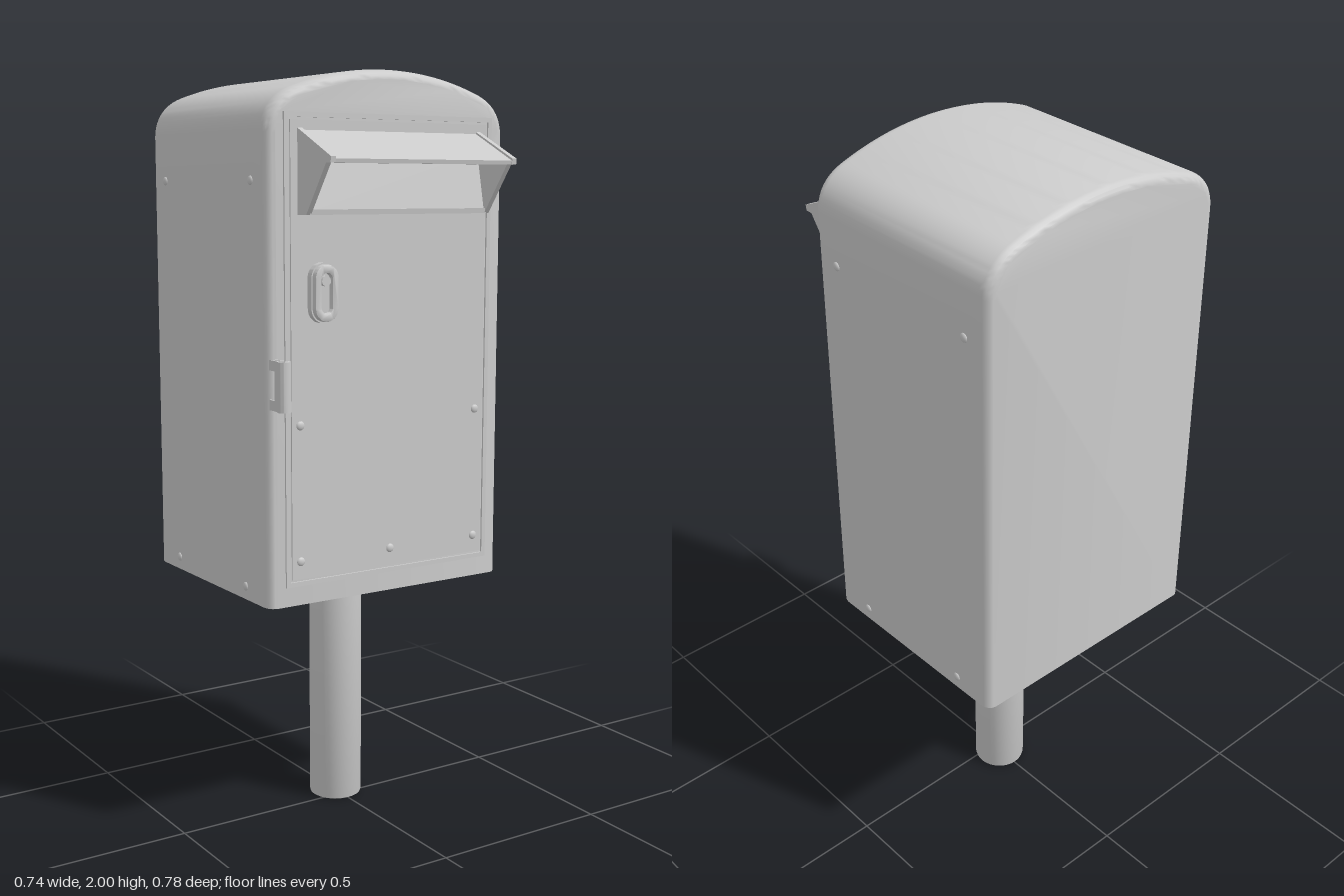
import * as THREE from 'three';
import { toCreasedNormals } from 'three/addons/utils/BufferGeometryUtils.js';

const grey = new THREE.MeshStandardMaterial({ color: 0xcccccc });
const BOTTOM = 0.655, FRONT = 0.234, BACK = -0.39;

function add(parent, name, geometry, x = 0, y = 0, z = 0) {
  const mesh = new THREE.Mesh(geometry, grey);
  mesh.name = name;
  mesh.position.set(x, y, z);
  parent.add(mesh);
  return mesh;
}

const polygon = (points) => new THREE.Shape(points.map(([x, y]) => new THREE.Vector2(x, y)));

function extrude(shape, depth, options = {}) {
  const geometry = new THREE.ExtrudeGeometry(shape, { depth, bevelEnabled: false, curveSegments: 12, ...options });
  return toCreasedNormals(geometry, 0.6);
}

// Profile drawn in (z, y), swept across x and centred
function sweepX(points, width) {
  return extrude(polygon(points), width).rotateY(-Math.PI / 2).translate(width / 2, 0, 0);
}

function rectangle(x0, y0, x1, y1) {
  return polygon([[x0, y0], [x1, y0], [x1, y1], [x0, y1]]);
}

function stadium(radius, half) {
  const s = new THREE.Shape();
  s.absarc(0, half, radius, 0, Math.PI);
  s.absarc(0, -half, radius, Math.PI, Math.PI * 2);
  s.closePath();
  return s;
}

// Arched cabinet with rounded front and back edges and a flat, sharp underside
function bodyGeometry() {
  const b = 0.025, t = 0.03, w = 0.365 - b;
  const s = new THREE.Shape();
  s.moveTo(-w, BOTTOM + b);
  s.lineTo(w, BOTTOM + b);
  s.lineTo(w, 1.84);
  s.quadraticCurveTo(w, 1.905, 0.27, 1.928);
  s.quadraticCurveTo(0.14, 2 - b, 0, 2 - b);
  s.quadraticCurveTo(-0.14, 2 - b, -0.27, 1.928);
  s.quadraticCurveTo(-w, 1.905, -w, 1.84);
  s.closePath();
  const geometry = new THREE.ExtrudeGeometry(s, {
    depth: FRONT - BACK - 2 * t, bevelSize: b, bevelThickness: t, bevelSegments: 5, curveSegments: 14,
  });
  geometry.translate(0, 0, BACK + t);
  const p = geometry.attributes.position;
  for (let i = 0; i < p.count; i++) if (p.getY(i) < BOTTOM + b + 0.001) p.setY(i, BOTTOM);
  return toCreasedNormals(geometry, 0.6);
}

function addDoor(group) {
  const door = new THREE.Group();
  door.name = 'door';
  group.add(door);
  // Seal around the door, with a narrow gap to the panel
  const seal = rectangle(-0.318, 0.706, 0.318, 1.888);
  seal.holes.push(rectangle(-0.306, 0.718, 0.306, 1.876));
  add(door, 'doorSeal', extrude(seal, 0.008), 0, 0, FRONT - 0.003);
  add(door, 'doorPanel', extrude(rectangle(-0.3, 0.724, 0.3, 1.87), 0.007), 0, 0, FRONT - 0.003);
  for (const [x, y] of [[-0.275, 1.12], [0.275, 1.12], [-0.275, 0.77], [0.275, 0.77], [0, 0.77]]) {
    addRivet(door, x, y, FRONT + 0.003).rotation.x = Math.PI / 2;
  }

  // Lock: flange, raised rim and core
  const lock = new THREE.Group();
  lock.name = 'lock';
  lock.position.set(-0.215, 1.45, FRONT);
  door.add(lock);
  add(lock, 'lockFlange', extrude(stadium(0.037, 0.038), 0.022));
  const rim = stadium(0.031, 0.037);
  rim.holes.push(stadium(0.019, 0.034));
  add(lock, 'lockRim', extrude(rim, 0.034, {
    bevelEnabled: true, bevelSize: 0.003, bevelThickness: 0.004, bevelSegments: 2,
  }));
  add(lock, 'lockCore', new THREE.CylinderGeometry(0.013, 0.013, 0.03, 20).rotateX(Math.PI / 2), 0, 0.03, 0.018);
}

// Low domed screw head, pointing along +y
function addRivet(parent, x, y, z) {
  const dome = new THREE.SphereGeometry(0.012, 14, 5, 0, Math.PI * 2, 0, Math.PI / 2).scale(1, 0.55, 1);
  return add(parent, 'rivet', dome, x, y, z);
}

function addLetterSlot(group) {
  const slot = new THREE.Group();
  slot.name = 'letterSlot';
  group.add(slot);
  // Sloping rain hood
  add(slot, 'hoodTop', sweepX([[0.235, 1.847], [0.235, 1.832], [0.372, 1.765], [0.386, 1.765], [0.388, 1.775]], 0.54));
  // Tapered cheeks at both ends
  const cheek = [[0.235, 1.852], [0.235, 1.642], [0.278, 1.642], [0.368, 1.765], [0.388, 1.765], [0.39, 1.78]];
  for (const side of [-1, 1]) add(slot, 'hoodCheek', sweepX(cheek, 0.014), side * 0.273);
  // Inclined flap under the hood, and its sill
  add(slot, 'flap', sweepX([[0.235, 1.8], [0.235, 1.65], [0.276, 1.65], [0.245, 1.8]], 0.535));
  add(slot, 'sill', sweepX([[0.235, 1.655], [0.235, 1.642], [0.28, 1.642], [0.282, 1.655]], 0.54));
}

// Padlock loop at the model's right edge: a strap bent into a keyhole shape
function addHasp(group) {
  const hasp = new THREE.Group();
  hasp.name = 'hasp';
  hasp.position.set(-0.348, 0, 0);
  group.add(hasp);
  const keyhole = (r, neck, z0) => {
    const s = new THREE.Shape();
    s.moveTo(neck, -z0);
    s.quadraticCurveTo(neck, -0.262, r, -0.28);
    s.absarc(0, -0.283, r, 0, -Math.PI, true);
    s.quadraticCurveTo(-neck, -0.262, -neck, -z0);
    s.closePath();
    return s;
  };
  const loop = keyhole(0.017, 0.010, 0.253);
  loop.holes.push(keyhole(0.010, 0.004, 0.255));
  // Drawn in (x, -z) and extruded upwards
  add(hasp, 'haspLoop', extrude(loop, 0.125).rotateX(-Math.PI / 2), 0, 1.165);
  for (const y of [1.178, 1.277]) {
    for (const side of [-1, 1]) {
      add(hasp, 'haspLeg', new THREE.BoxGeometry(0.006, 0.026, 0.028), side * 0.007, y, 0.242);
    }
  }
}

export function createModel() {
  const group = new THREE.Group();
  group.name = 'letterBox';

  add(group, 'body', bodyGeometry());
  addDoor(group);
  addLetterSlot(group);
  addHasp(group);

  // Screws on both sides
  for (const side of [-1, 1]) {
    for (const [z, y] of [[0.155, 1.725], [-0.31, 1.725], [0.11, 0.69], [-0.265, 0.69]]) {
      addRivet(group, side * 0.364, y, z).rotation.z = -side * Math.PI / 2;
    }
  }

  // Post with a softened foot
  const profile = [[0, 0], [0.066, 0], [0.071, 0.003], [0.073, 0.01], [0.073, 0.67]];
  const post = new THREE.LatheGeometry(profile.map(([r, y]) => new THREE.Vector2(r, y)), 40);
  add(group, 'post', toCreasedNormals(post, 0.6), 0, 0, -0.03);
  return group;
}
